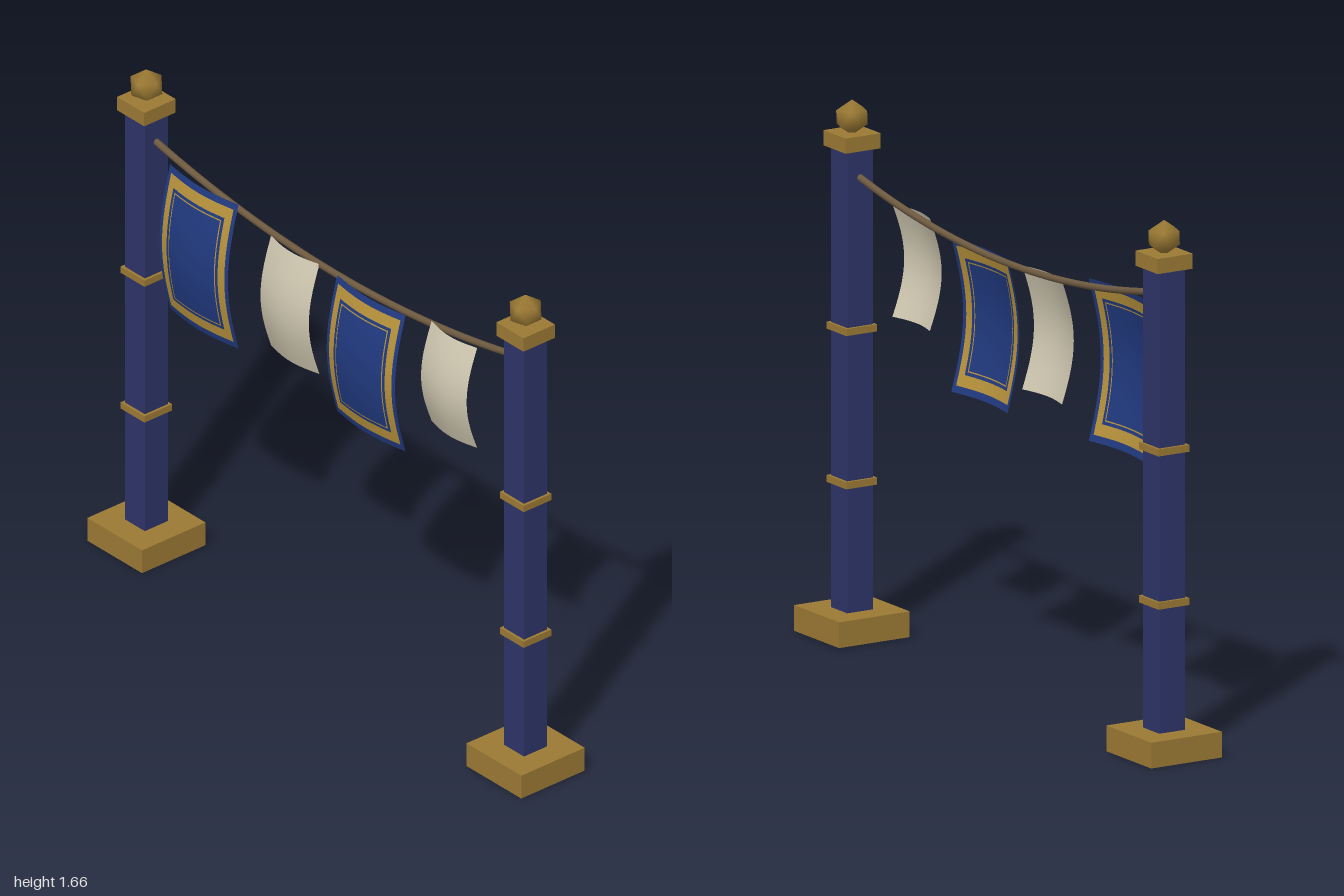
import * as THREE from 'three';

const mat = (name, color, side = THREE.FrontSide) => {
  const m = new THREE.MeshStandardMaterial({ color, side });
  m.name = name;
  return m;
};

// height of the sagging rope at x
const ropeY = (x) => 1.338 + 0.087 * (x / 0.82) ** 2;

// evenly spaced inner breaks between mirrored border breaks, for a size in units
function breaks(size, border, inner) {
  const edges = border.map((b) => b / size);
  const a = edges[edges.length - 1];
  const mid = [];
  for (let i = 1; i < inner; i++) mid.push(a + ((1 - 2 * a) * i) / inner);
  return [0, ...edges, ...mid, ...edges.map((e) => 1 - e).reverse(), 1];
}

// billowing cloth; each concentric ring of cells takes a material index
function clothGeometry(x0, x1, yTop, yBottom, borderX, borderY, ringMaterial) {
  const us = breaks(x1 - x0, borderX, 10);
  const vs = breaks(yTop - yBottom, borderY, 12);
  const pos = [];
  for (const v of vs) {
    for (const u of us) {
      pos.push(
        x0 + (x1 - x0) * u,
        yTop + (yBottom - yTop) * v,
        0.008 + 0.042 * Math.sin(Math.PI * v) + 0.018 * Math.sin(Math.PI * u)
      );
    }
  }
  const nu = us.length - 1, nv = vs.length - 1;
  const lists = [[], []];
  for (let j = 0; j < nv; j++) {
    for (let i = 0; i < nu; i++) {
      const ring = Math.min(i, j, nu - 1 - i, nv - 1 - j);
      const a = j * (nu + 1) + i, b = a + nu + 1;
      lists[ringMaterial(ring)].push(a, b, b + 1, a, b + 1, a + 1);
    }
  }
  const g = new THREE.BufferGeometry();
  g.setAttribute('position', new THREE.Float32BufferAttribute(pos, 3));
  g.setIndex([...lists[0], ...lists[1]]);
  g.addGroup(0, lists[0].length, 0);
  g.addGroup(lists[0].length, lists[1].length, 1);
  g.computeVertexNormals();
  return g;
}

export function createModel() {
  const model = new THREE.Group();
  model.name = 'bannerLine';

  const navy = mat('navyPaint', 0x2d3569);
  const brass = mat('brass', 0x9c7a34);
  const ropeBrown = mat('ropeBrown', 0x6e5a40);
  const blue = mat('blueCloth', 0x213a80, THREE.DoubleSide);
  const gold = mat('goldTrim', 0xb8933c, THREE.DoubleSide);
  const linen = mat('linenCloth', 0xcfc7b0, THREE.DoubleSide);

  const add = (parent, name, geometry, material) => {
    const mesh = new THREE.Mesh(geometry, material);
    mesh.name = name;
    parent.add(mesh);
    return mesh;
  };
  const block = (parent, name, width, y0, y1, material) => {
    const mesh = add(parent, name, new THREE.BoxGeometry(width, y1 - y0, width), material);
    mesh.position.y = (y0 + y1) / 2;
  };

  // posts with base, bands, cap and faceted ball
  for (const side of [-1, 1]) {
    const post = new THREE.Group();
    post.name = side > 0 ? 'leftPost' : 'rightPost';
    post.position.x = side * 0.874;
    block(post, 'base', 0.252, 0, 0.08, brass);
    block(post, 'shaft', 0.092, -0.001, 1.52, navy);
    block(post, 'lowerBand', 0.11, 0.468, 0.49, brass);
    block(post, 'upperBand', 0.11, 0.944, 0.966, brass);
    block(post, 'cap', 0.125, 1.513, 1.56, brass);
    const ball = new THREE.IcosahedronGeometry(0.055, 0);
    ball.rotateX(-Math.atan((1 + Math.sqrt(5)) / 2)).rotateY(Math.PI / 2);
    // smooth normals point straight out from the centre
    const p = ball.attributes.position, n = ball.attributes.normal;
    for (let i = 0; i < p.count; i++) {
      const d = new THREE.Vector3().fromBufferAttribute(p, i).normalize();
      n.setXYZ(i, d.x, d.y, d.z);
    }
    add(post, 'finial', ball, brass).position.y = 1.605;
    model.add(post);
  }

  // sagging rope
  const path = [];
  for (let i = 0; i <= 16; i++) {
    const x = -0.85 + (1.7 * i) / 16;
    path.push(new THREE.Vector3(x, ropeY(x), 0));
  }
  add(model, 'rope', new THREE.TubeGeometry(new THREE.CatmullRomCurve3(path), 32, 0.011, 8), ropeBrown);

  // bordered banners: blue hem, gold frame, blue field with a fine gold line
  const framed = (ring) => (ring === 1 || ring === 3 ? 1 : 0);
  for (const [name, x0, x1, top, bottom] of [
    ['rightBanner', -0.755, -0.44, 1.385, 0.88],
    ['leftBanner', 0.015, 0.33, 1.345, 0.868],
  ]) {
    const g = clothGeometry(x0, x1, top, bottom,
      [0.014, 0.04, 0.05, 0.054], [0.021, 0.057, 0.067, 0.071], framed);
    add(model, name, g, [blue, gold]);
  }

  // plain linen cloths
  for (const [name, x0, x1, top, bottom] of [
    ['rightLinen', -0.29, -0.067, 1.345, 0.96],
    ['leftLinen', 0.45, 0.66, 1.38, 1.03],
  ]) {
    add(model, name, clothGeometry(x0, x1, top, bottom, [0.02], [0.03], () => 0), [linen, linen]);
  }
  return model;
}
